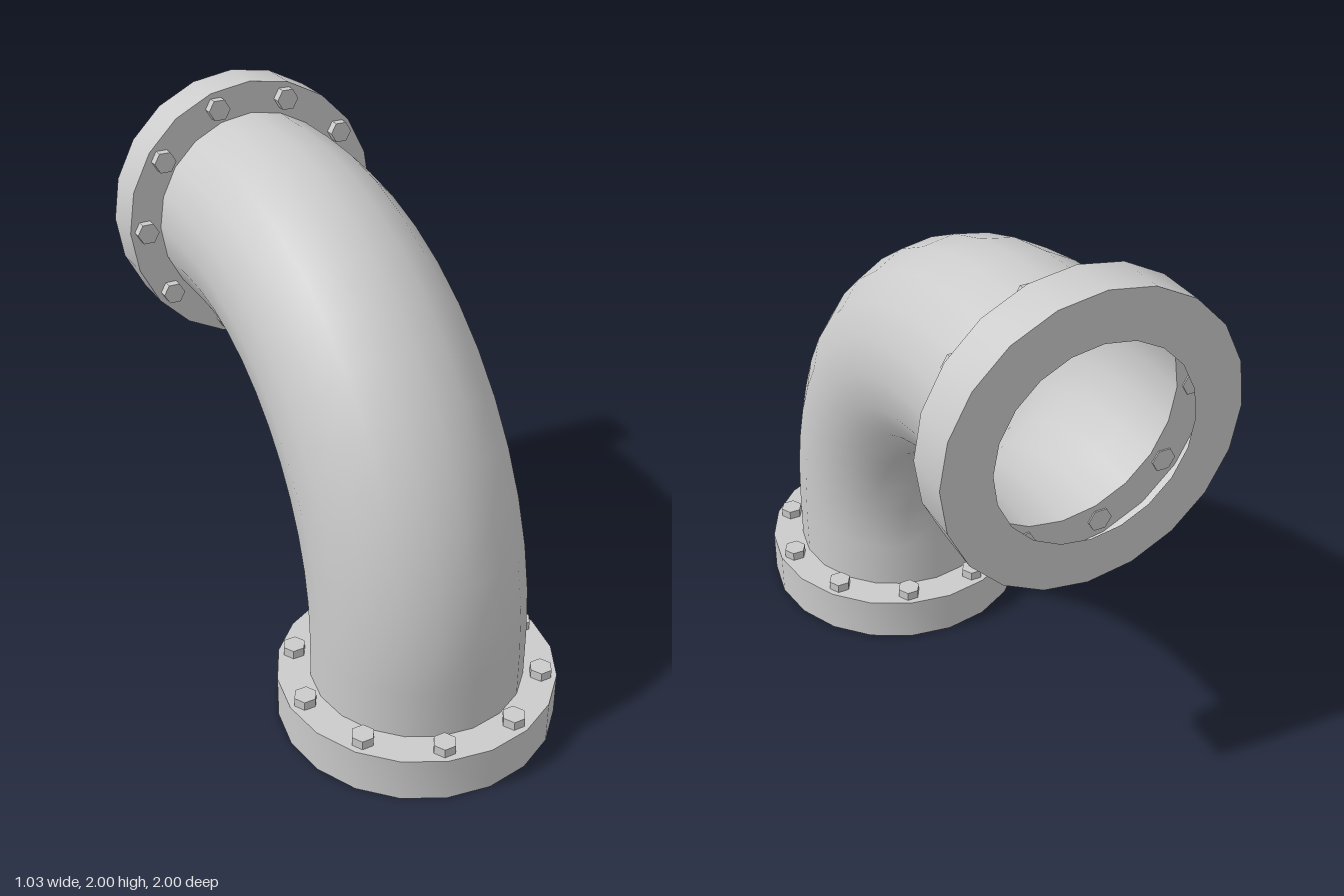
import * as THREE from 'three';
import { toCreasedNormals } from 'three/addons/utils/BufferGeometryUtils.js';

const SIDES = 20;
const PIPE_RADIUS = 0.393;
const AXIS = 0.485;          // z of the lower opening's axis
const BEND_RADIUS = 1.128;   // bend radius of the pipe's centre line
const FLANGE_RADIUS = 0.515;
const FLANGE_HEIGHT = 0.17;
const BOLT_COUNT = 10;

const material = new THREE.MeshStandardMaterial({ color: 0xcccccc, side: THREE.DoubleSide });

function addMesh(parent, geometry, name) {
  const mesh = new THREE.Mesh(geometry, material);
  mesh.name = name;
  parent.add(mesh);
  return mesh;
}

// Open cylinder bent through 90 degrees, with a short straight run at each end
function bentPipeGeometry() {
  const bends = 12, rows = bends + 2;
  const geometry = new THREE.CylinderGeometry(PIPE_RADIUS, PIPE_RADIUS, rows, SIDES, rows, true);
  const pos = geometry.attributes.position;
  const nor = geometry.attributes.normal;
  const centreZ = AXIS - BEND_RADIUS;
  const centreY = 1 + AXIS - BEND_RADIUS;
  for (let i = 0; i < pos.count; i++) {
    const row = Math.round(pos.getY(i) + rows / 2);
    const angle = THREE.MathUtils.clamp((row - 1) / bends, 0, 1) * Math.PI / 2;
    const c = Math.cos(angle), s = Math.sin(angle);
    const reach = BEND_RADIUS + pos.getZ(i);
    const y = row === 0 ? FLANGE_HEIGHT : centreY + reach * s;
    const z = row === rows ? FLANGE_HEIGHT - 1 : centreZ + reach * c;
    pos.setXYZ(i, pos.getX(i), y, z);
    const n = nor.getZ(i);
    nor.setXYZ(i, nor.getX(i), n * s, n * c);
  }
  return geometry;
}

// Hollow flange shell standing on y = 0, with a ring of hexagonal bolts on top
function createFlange(name) {
  const flange = new THREE.Group();
  flange.name = name;

  const profile = [
    [0.345, 0], [FLANGE_RADIUS, 0],
    [FLANGE_RADIUS, FLANGE_HEIGHT], [PIPE_RADIUS, FLANGE_HEIGHT],
  ].map(([r, y]) => new THREE.Vector2(r, y));
  const shell = new THREE.LatheGeometry(profile, SIDES);
  addMesh(flange, toCreasedNormals(shell, Math.PI / 6), 'flangeRing');

  // Bolt heads, all with a corner pointing along x
  const head = toCreasedNormals(
    new THREE.CylinderGeometry(0.043, 0.043, 0.04, 6).rotateY(Math.PI / 6), Math.PI / 6);
  for (let i = 0; i < BOLT_COUNT; i++) {
    const angle = (i + 0.5) / BOLT_COUNT * Math.PI * 2;
    const bolt = addMesh(flange, head, 'bolt');
    bolt.position.set(Math.sin(angle) * 0.455, FLANGE_HEIGHT + 0.015, Math.cos(angle) * 0.455);
  }
  return flange;
}

export function createModel() {
  const model = new THREE.Group();
  model.name = 'pipeElbow';

  addMesh(model, bentPipeGeometry(), 'bentPipe');

  const lower = createFlange('lowerFlange');
  lower.position.z = AXIS;

  // Upper flange opens towards the back
  const upper = createFlange('upperFlange');
  upper.rotation.x = Math.PI / 2;
  upper.position.set(0, 1 + AXIS, -1);

  model.add(lower, upper);
  return model;
}
